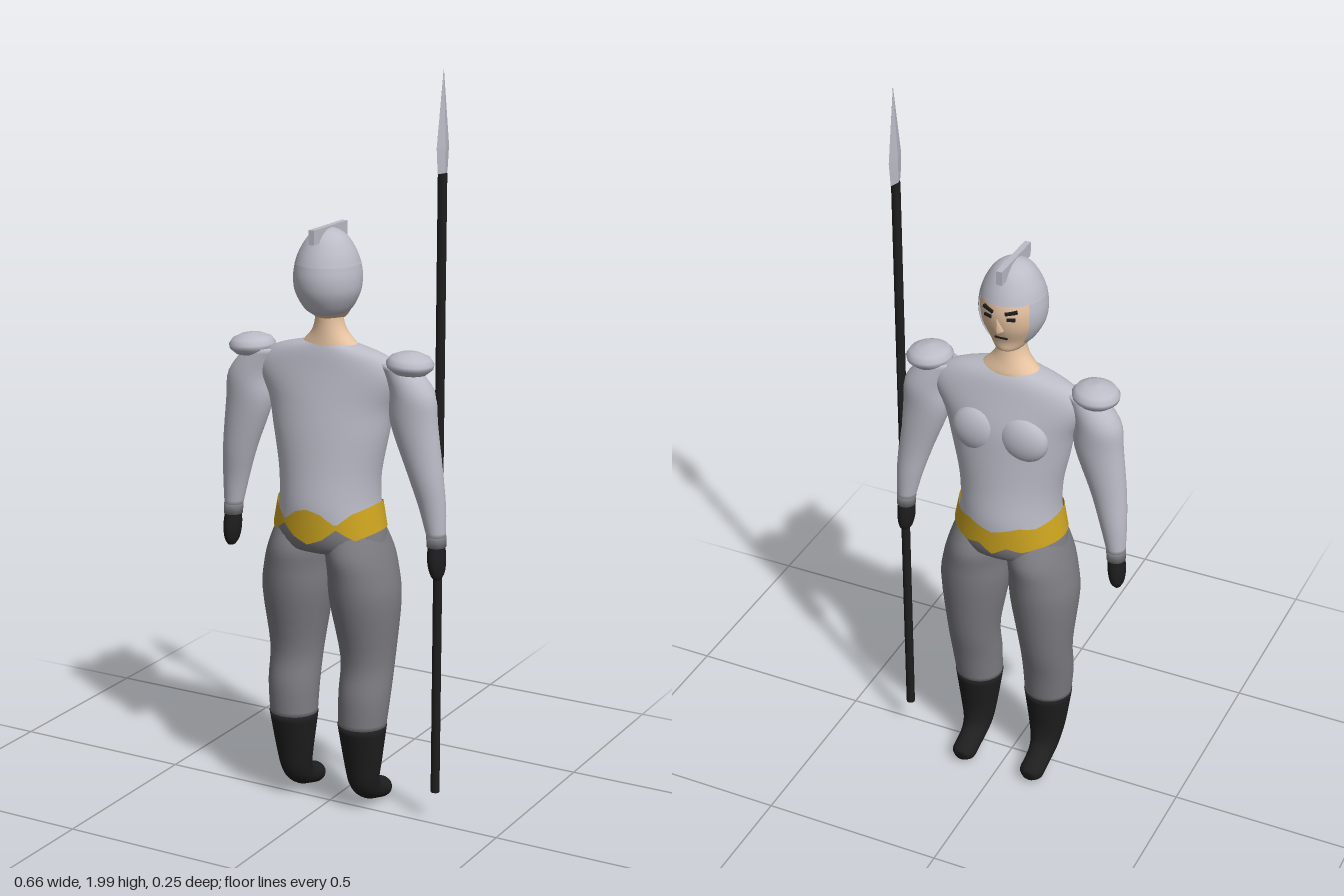
import * as THREE from 'three';

const mat = (name, color, side = THREE.FrontSide) => {
  const m = new THREE.MeshStandardMaterial({ color, side });
  m.name = name;
  return m;
};

// Smooth value between neighbouring sections
function spline(rows, f) {
  const i = Math.min(Math.floor(f), rows.length - 2), t = f - i;
  const p = k => rows[Math.max(0, Math.min(rows.length - 1, k))];
  return rows[i].map((v, k) => {
    const a = p(i - 1)[k], b = v, c = p(i + 1)[k], d = p(i + 2)[k];
    return b + 0.5 * t * (c - a + t * (2 * a - 5 * b + 4 * c - d + t * (3 * (b - c) + d - a)));
  });
}

// Skin over elliptical sections from top to bottom: [y, x, z, rx, rz, tilt]
function loft(sections, { segs = 28, sub = 4, t0 = 0, t1 = Math.PI * 2, caps = true } = {}) {
  const rows = sections.map(s => [...s, 0].slice(0, 6));
  const closed = t1 - t0 > 6.28, cols = closed ? segs : segs + 1;
  const n = (rows.length - 1) * sub, pos = [], idx = [];
  for (let i = 0; i <= n; i++) {
    const [y, x, z, rx, rz, tilt] = spline(rows, i / sub);
    for (let j = 0; j < cols; j++) {
      const t = t0 + (t1 - t0) * j / segs, s = rz * Math.sin(t);
      pos.push(x + rx * Math.cos(t), y - s * Math.sin(tilt), z + s * Math.cos(tilt));
    }
  }
  for (let i = 0; i < n; i++) for (let j = 0; j < segs; j++) {
    const k = (j + 1) % cols, a = i * cols + j, b = i * cols + k, c = a + cols, d = b + cols;
    idx.push(a, b, c, b, d, c);
  }
  if (closed && caps) [0, n].forEach(i => {
    const [y, x, z] = spline(rows, i / sub), centre = pos.length / 3;
    pos.push(x, y, z);
    for (let j = 0; j < segs; j++) {
      const a = i * cols + j, b = i * cols + (j + 1) % cols;
      idx.push(centre, ...(i ? [a, b] : [b, a]));
    }
  });
  const g = new THREE.BufferGeometry();
  g.setAttribute('position', new THREE.Float32BufferAttribute(pos, 3));
  g.setIndex(idx);
  g.computeVertexNormals();
  return g;
}

// Straight-line lookup in evenly spaced values
const lookup = (values, u) => {
  const f = u * (values.length - 1), i = Math.min(Math.floor(f), values.length - 2);
  return values[i] + (values[i + 1] - values[i]) * (f - i);
};

// Zigzag belt wrapped round the hips
function beltGeometry() {
  const segs = 96, rows = 5, pos = [], idx = [];
  for (let i = 0; i <= rows; i++) for (let j = 0; j < segs; j++) {
    const t = j / segs * Math.PI * 2, u = Math.abs(Math.cos(t)), back = Math.sin(t) > 0;
    const top = lookup(back ? [0.865, 0.855, 0.825, 0.855, 0.87] : [0.84, 0.85, 0.86, 0.855, 0.87], u);
    const low = lookup(back ? [0.77, 0.785, 0.815, 0.785, 0.8] : [0.77, 0.795, 0.785, 0.795, 0.8], u);
    const y = top + (low - top) * i / rows, k = (0.87 - y) / 0.1;
    pos.push((0.141 + 0.021 * k) * Math.cos(t), y, -0.003 + (0.128 - 0.003 * k) * Math.sin(t));
  }
  for (let i = 0; i < rows; i++) for (let j = 0; j < segs; j++) {
    const a = i * segs + j, b = i * segs + (j + 1) % segs;
    idx.push(a, b, a + segs, b, b + segs, a + segs);
  }
  const g = new THREE.BufferGeometry();
  g.setAttribute('position', new THREE.Float32BufferAttribute(pos, 3));
  g.setIndex(idx);
  g.computeVertexNormals();
  return g;
}

export function createModel() {
  const model = new THREE.Group();
  model.name = 'spearGuard';
  const silver = mat('silver', 0xbcbcc8, THREE.DoubleSide);
  const grey = mat('trouserGrey', 0x7c7c82);
  const black = mat('black', 0x1e1e1e);
  const gold = mat('gold', 0xcca420, THREE.DoubleSide);
  const skin = mat('skin', 0xe8c4a2);

  const add = (name, geo, material, x = 0, y = 0, z = 0) => {
    const m = new THREE.Mesh(geo, material);
    m.name = name;
    m.position.set(x, y, z);
    model.add(m);
    return m;
  };
  const mirrorX = rows => s => rows.map(([y, x, ...r]) => [y, x * s, ...r]);

  // Torso, hips and belt
  add('torso', loft([
    [1.29, 0, 0, 0.06, 0.042], [1.262, 0, -0.005, 0.165, 0.055], [1.21, 0, -0.008, 0.22, 0.068],
    [1.13, 0, -0.01, 0.183, 0.088], [1.05, 0, -0.006, 0.164, 0.1], [0.95, 0, -0.003, 0.142, 0.112],
    [0.87, 0, -0.003, 0.137, 0.123], [0.82, 0, -0.003, 0.146, 0.123],
  ], { segs: 40 }), silver);
  add('hips', loft([
    [0.82, 0, -0.003, 0.146, 0.123], [0.78, 0, -0.004, 0.156, 0.12], [0.745, 0, -0.005, 0.155, 0.105],
    [0.73, 0, -0.005, 0.1, 0.07],
  ], { segs: 40 }), grey);
  add('belt', beltGeometry(), gold);

  const leg = mirrorX([
    [0.8, 0.08, -0.004, 0.066, 0.09], [0.74, 0.086, -0.007, 0.082, 0.115], [0.68, 0.096, -0.008, 0.089, 0.113],
    [0.6, 0.102, -0.01, 0.093, 0.105], [0.44, 0.108, -0.014, 0.073, 0.076], [0.34, 0.108, 0.004, 0.07, 0.07],
    [0.25, 0.105, 0.012, 0.065, 0.063],
  ]);
  const boot = mirrorX([
    [0.255, 0.105, 0.012, 0.067, 0.065], [0.15, 0.105, 0.008, 0.053, 0.046], [0.09, 0.104, -0.002, 0.042, 0.042, 0.4],
    [0.06, 0.104, -0.028, 0.036, 0.034, 0.95], [0.046, 0.104, -0.06, 0.034, 0.03, 1.2],
    [0.034, 0.104, -0.1, 0.033, 0.028, 1.25], [0.031, 0.104, -0.118, 0.018, 0.016, 1.3],
  ]);
  const sleeve = mirrorX([
    [1.25, 0.2, 0, 0.045, 0.04], [1.18, 0.24, -0.003, 0.062, 0.052], [1.1, 0.246, -0.003, 0.066, 0.05],
    [0.97, 0.277, -0.005, 0.048, 0.042], [0.88, 0.295, -0.012, 0.036, 0.034], [0.8, 0.306, -0.015, 0.025, 0.026],
  ]);
  const cuff = mirrorX([[0.803, 0.306, -0.015, 0.026, 0.027], [0.775, 0.307, -0.015, 0.025, 0.027]]);
  const glove = mirrorX([
    [0.785, 0.307, -0.015, 0.022, 0.024], [0.74, 0.309, -0.013, 0.023, 0.031], [0.705, 0.311, -0.013, 0.018, 0.026],
    [0.687, 0.312, -0.012, 0.009, 0.013],
  ]);
  // Domed shoulder guard profile
  const guard = [[0, -0.028], [0.045, -0.026], [0.06, -0.012], [0.062, 0], [0.052, 0.014], [0.03, 0.024], [0, 0.028]]
    .map(p => new THREE.Vector2(...p));

  for (const [side, s] of [['left', 1], ['right', -1]]) {
    add(side + 'Leg', loft(leg(s)), grey);
    add(side + 'Boot', loft(boot(s)), black);
    add(side + 'Sleeve', loft(sleeve(s)), silver);
    add(side + 'Cuff', loft(cuff(s), { sub: 1 }), grey);
    add(side + 'Glove', loft(glove(s)), black);
    add(side + 'ShoulderGuard', new THREE.LatheGeometry(guard, 28), silver, s * 0.234, 1.257, 0).rotation.z = -s * 0.06;
    // Chest relief
    add(side + 'ChestPlate', new THREE.SphereGeometry(1, 24, 16), silver, s * 0.065, 1.115, -0.073)
      .scale.set(0.07, 0.065, 0.036);
  }

  // Neck and head
  add('neck', loft([
    [1.4, 0, 0.005, 0.036, 0.038], [1.35, 0, 0.003, 0.037, 0.037], [1.315, 0, 0, 0.05, 0.041],
    [1.285, 0, -0.003, 0.078, 0.047], [1.275, 0, -0.003, 0.09, 0.048],
  ]), skin);
  const egg = k => [
    [1.525, 0, 0.01, 0.074 * k, 0.078 * k], [1.495, 0, 0.01, 0.084 * k, 0.09 * k], [1.46, 0, 0.01, 0.088 * k, 0.095 * k],
    [1.42, 0, 0.01, 0.083 * k, 0.089 * k], [1.38, 0, 0.007, 0.062 * k, 0.07 * k],
  ];
  add('face', loft([...egg(0.95), [1.352, 0, -0.01, 0.035, 0.045], [1.347, 0, -0.01, 0.012, 0.016]]), skin);

  // Helmet: full dome, then open at the face
  add('helmetDome', loft([
    [1.587, 0, 0.01, 0.002, 0.002], [1.58, 0, 0.01, 0.028, 0.03], [1.56, 0, 0.01, 0.053, 0.057], ...egg(1).slice(0, 2),
  ], { segs: 36, caps: false }), silver);
  const open = 0.92;
  add('helmetSides', loft([...egg(1).slice(1), [1.365, 0, 0.007, 0.045, 0.05]],
    { segs: 36, t0: -Math.PI / 2 + open, t1: Math.PI * 1.5 - open }), silver);
  add('helmetCrest', new THREE.BoxGeometry(0.016, 0.038, 0.172), silver, 0, 1.572, 0.009);

  // Facial features
  const nose = add('nose', new THREE.ConeGeometry(0.013, 0.045, 4), skin, 0, 1.445, -0.084);
  nose.rotation.x = -0.35;
  for (const s of [-1, 1]) {
    const brow = add('brow', new THREE.BoxGeometry(0.032, 0.008, 0.008), black, s * 0.031, 1.478, -0.073);
    brow.rotation.set(0, -s * 0.35, s * 0.2);
    add('eye', new THREE.BoxGeometry(0.022, 0.008, 0.008), black, s * 0.031, 1.46, -0.074).rotation.y = -s * 0.35;
  }
  add('mouth', new THREE.BoxGeometry(0.034, 0.005, 0.008), black, 0, 1.397, -0.064);

  // Spear
  add('spearShaft', new THREE.CylinderGeometry(0.012, 0.012, 1.655, 10), black, 0.309, 0.9175, -0.02);
  const blade = (name, material, rows) =>
    add(name, loft(rows, { segs: 4, sub: 1 }).toNonIndexed(), material).geometry.computeVertexNormals();
  blade('spearHead', silver, [
    [2, 0.309, -0.02, 0.0005, 0.0005], [1.81, 0.309, -0.02, 0.008, 0.034], [1.745, 0.309, -0.02, 0.008, 0.027],
  ]);
  // Dark dagger hanging beside the arm
  blade('dagger', black, [
    [1.25, 0.306, -0.026, 0.008, 0.014], [1.17, 0.306, -0.026, 0.012, 0.02], [0.95, 0.306, -0.028, 0.001, 0.001],
  ]);
  return model;
}
